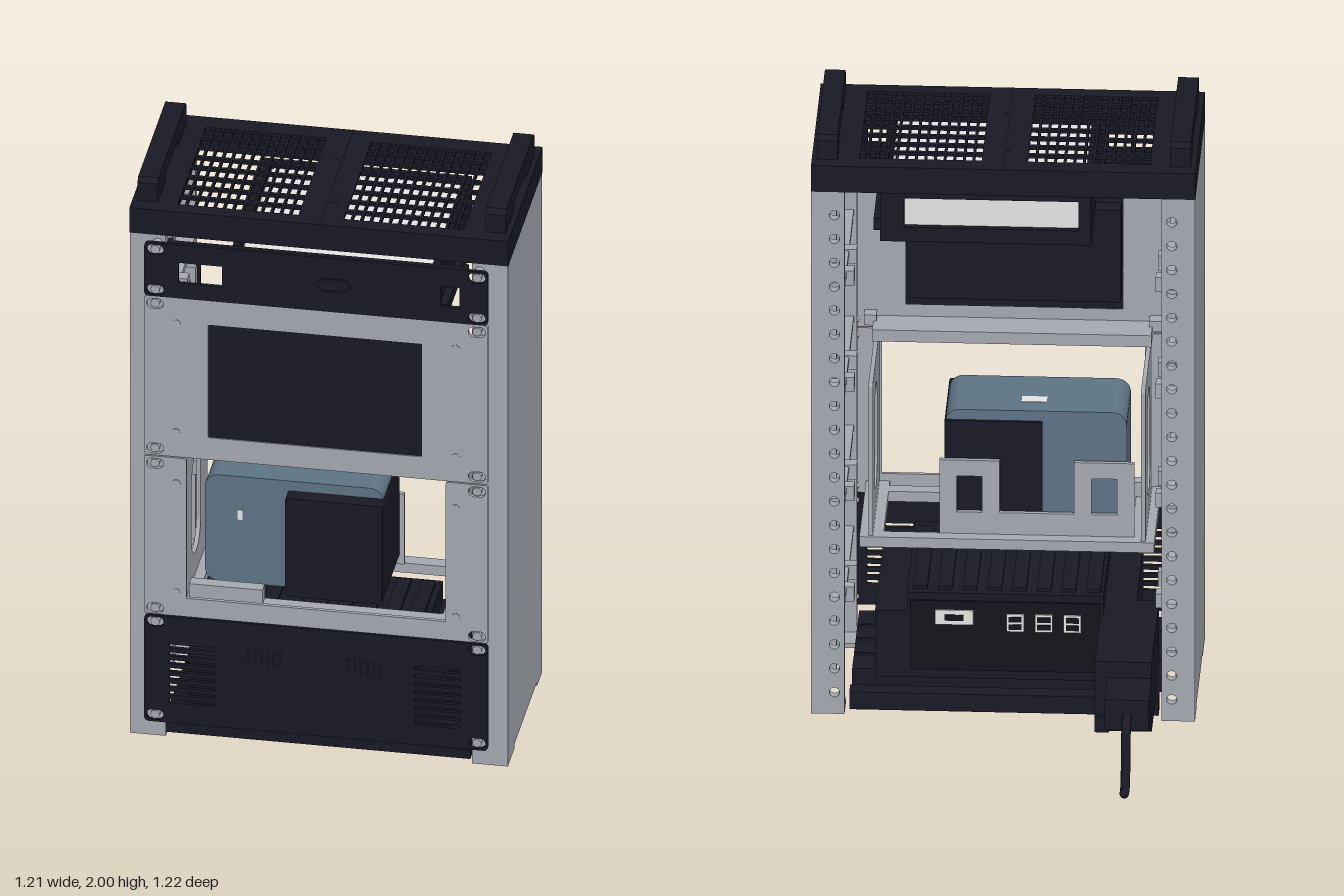
import * as THREE from 'three';

const mat = (name, color) => {
  const m = new THREE.MeshStandardMaterial({ color });
  m.name = name;
  return m;
};

export function createModel() {
  const dark = mat('charcoal plastic', 0x1a1a26);
  const grey = mat('grey plastic', 0xa6aab2);
  const blue = mat('slate blue', 0x5f7586);
  const light = mat('pale case', 0xe6e8e8);
  const black = mat('black case', 0x14141d);
  const root = new THREE.Group();
  root.name = 'miniRack';

  const box = (name, m, x0, x1, y0, y1, z0, z1) => {
    const mesh = new THREE.Mesh(new THREE.BoxGeometry(x1 - x0, y1 - y0, z1 - z0), m);
    mesh.position.set((x0 + x1) / 2, (y0 + y1) / 2, (z0 + z1) / 2);
    mesh.name = name;
    root.add(mesh);
  };
  // Same box on both sides
  const pair = (name, m, x0, x1, ...r) => {
    box(name + 'Left', m, x0, x1, ...r);
    box(name + 'Right', m, -x1, -x0, ...r);
  };
  // Rounded rectangle outline
  const rounded = (P, x0, x1, y0, y1, r) => {
    const p = new P();
    p.moveTo(x0 + r, y0);
    p.lineTo(x1 - r, y0);
    p.absarc(x1 - r, y0 + r, r, -Math.PI / 2, 0);
    p.lineTo(x1, y1 - r);
    p.absarc(x1 - r, y1 - r, r, 0, Math.PI / 2);
    p.lineTo(x0 + r, y1);
    p.absarc(x0 + r, y1 - r, r, Math.PI / 2, Math.PI);
    p.lineTo(x0, y0 + r);
    p.absarc(x0 + r, y0 + r, r, Math.PI, Math.PI * 1.5);
    return p;
  };
  // Flat plate with rounded holes, extruded along z; each outline is [x0, x1, y0, y1, r]
  const plate = (name, m, outline, holes, z0, z1) => {
    const s = rounded(THREE.Shape, ...outline);
    s.holes = holes.map(h => rounded(THREE.Path, ...h));
    const g = new THREE.ExtrudeGeometry(s, { depth: z1 - z0, bevelEnabled: false, curveSegments: 5 });
    const mesh = new THREE.Mesh(g, m);
    mesh.position.z = z0;
    mesh.name = name;
    root.add(mesh);
    return mesh;
  };
  const disc = (name, m, x, y, z, r, h) => {
    const mesh = new THREE.Mesh(new THREE.CylinderGeometry(r, r, h, 12), m);
    mesh.rotation.x = Math.PI / 2;
    mesh.position.set(x, y, z);
    mesh.name = name;
    root.add(mesh);
  };
  // Mounting slots on both ears at the given heights
  const earSlots = ys => ys.flatMap(y => [-0.515, 0.515].map(x => [x - 0.027, x + 0.027, y - 0.018, y + 0.018, 0.017]));

  // Side walls with front posts, perforated rear posts, feet and inner ribs
  pair('sideWall', grey, 0.565, 0.605, 0.03, 1.83, -0.05, 0.56);
  pair('frontPost', grey, 0.49, 0.605, 0.03, 1.83, 0.525, 0.56);
  pair('frontFoot', grey, 0.49, 0.605, 0.015, 0.03, 0.44, 0.56);
  pair('rearFoot', grey, 0.5, 0.605, 0.015, 0.03, -0.05, 0.04);
  for (const s of [-1, 1]) {
    const holes = [];
    for (let i = 0; i < 21; i++) {
      const x = s * 0.532, y = 0.09 + i * 0.083;
      holes.push([x - 0.016, x + 0.016, y - 0.016, y + 0.016, 0.0155]);
    }
    plate('rearPost', grey, [s * 0.5525 - 0.0525, s * 0.5525 + 0.0525, 0.03, 1.83, 0.001], holes, -0.05, -0.02);
  }
  for (const z of [0.13, 0.34]) pair('wallStrip', grey, 0.535, 0.565, 0.05, 1.83, z, z + 0.05);
  for (const y of [0.38, 0.73, 1.11, 1.48]) {
    pair('wallShelf', grey, 0.5, 0.565, y, y + 0.02, -0.02, 0.525);
    for (const z of [0.06, 0.22]) pair('wallClip', grey, 0.475, 0.565, y - 0.025, y + 0.025, z, z + 0.04);
  }

  // Top cap: skirt and thin ventilation grid
  pair('capSide', dark, 0.48, 0.606, 1.83, 1.92, -0.05, 0.56);
  box('capFront', dark, -0.606, 0.606, 1.83, 1.92, 0.53, 0.56);
  box('capRear', dark, -0.606, 0.606, 1.83, 1.92, -0.05, -0.02);
  box('capCentre', dark, -0.055, 0.055, 1.88, 1.92, -0.05, 0.56);
  const vents = [];
  for (const x0 of [-0.46, 0.07]) {
    for (let i = 0; i < 13; i++) for (let j = 0; j < 8; j++) {
      const x = x0 + i * 0.0303, y = -0.51 + j * 0.0635;
      vents.push([x, x + 0.022, y, y + 0.05, 0.001]);
    }
  }
  const grid = plate('capGrid', dark, [-0.6, 0.6, -0.555, 0.045, 0.005], vents, 0, 0.012);
  grid.rotation.x = -Math.PI / 2;
  grid.position.set(0, 1.908, 0);
  // Interlocking seam in the cap
  box('capSeam', black, -0.002, 0.002, 1.919, 1.921, -0.05, 0.56);
  for (const [x0, x1, z] of [[-0.035, 0, 0.115], [0, 0.035, 0.39]])
    box('capSeamTab', dark, x0, x1, 1.919, 1.921, z - 0.024, z + 0.024);

  // Carry handles, arched over a slot
  for (const s of [-1, 1]) {
    const h = new THREE.Shape([[0, 0], [0.15, 0], [0.15, 0.025], [0.37, 0.025], [0.37, 0], [0.51, 0],
      [0.51, 0.065], [0.495, 0.08], [0.015, 0.08], [0, 0.065]].map(p => new THREE.Vector2(...p)));
    const m = new THREE.Mesh(new THREE.ExtrudeGeometry(h, { depth: 0.065, bevelEnabled: false }), dark);
    m.rotation.y = -Math.PI / 2;
    m.position.set(s * 0.557 + 0.0325, 1.92, 0);
    m.name = s > 0 ? 'handleLeft' : 'handleRight';
    root.add(m);
  }

  // Top front panel with sockets
  plate('topPanel', dark, [-0.55, 0.55, 1.636, 1.83, 0.015], [...earSlots([1.66, 1.805]),
    [-0.44, -0.38, 1.69, 1.765, 0.002], [-0.37, -0.3, 1.69, 1.765, 0.002], [0.4, 0.46, 1.69, 1.765, 0.002]], 0.598, 0.61);
  for (const y of [1.64, 1.805]) box('topPanelRim', dark, -0.48, 0.48, y, y + 0.02, 0.575, 0.598);
  pair('topPanelFlange', dark, 0.465, 0.48, 1.64, 1.825, 0.56, 0.598);
  plate('topPanelButtonRim', black, [0, 0.11, 1.705, 1.757, 0.025], [[0.008, 0.102, 1.713, 1.749, 0.017]], 0.609, 0.612);

  // Pale device in its tray
  plate('networkDevice', light, [-0.25, 0.365, 1.68, 1.8, 0.015], [], 0.025, 0.57);
  box('deviceTrayLeft', dark, 0.366, 0.39, 1.645, 1.82, 0.0, 0.575);
  box('deviceTrayLedge', dark, 0.39, 0.415, 1.64, 1.68, 0.08, 0.575);
  box('deviceTrayRight', dark, -0.275, -0.251, 1.645, 1.82, 0.0, 0.575);
  box('deviceTrayRear', dark, -0.275, 0.39, 1.64, 1.68, 0.0, 0.06);
  box('deviceTrayFront', dark, -0.275, 0.39, 1.64, 1.68, 0.48, 0.575);
  plate('deviceTrayWindow', dark, [-0.275, 0.39, 1.64, 1.82, 0.005], [[-0.235, 0.315, 1.69, 1.79, 0.003]], 0, 0.02);

  // Screen panel
  plate('screenPanel', grey, [-0.55, 0.55, 1.06, 1.636, 0.01],
    [...earSlots([1.61, 1.085]), [-0.345, 0.34, 1.14, 1.55, 0.003]], 0.598, 0.61);
  box('screen', dark, -0.347, 0.342, 1.138, 1.552, 0.598, 0.606);
  box('screenBackCover', dark, -0.34, 0.335, 1.19, 1.51, 0.54, 0.598);
  box('screenLedge', grey, -0.44, 0.44, 1.06, 1.1, 0.49, 0.598);
  box('screenTopBar', grey, -0.5, 0.5, 1.595, 1.635, 0.5, 0.55);
  for (const y of [1.085, 1.59]) pair('screenBoss', grey, 0.43, 0.47, y, y + 0.035, 0.555, 0.598);

  // Open bay: ears, front lip, side brackets with oval holes, frame shelf
  for (const s of [-1, 1]) {
    plate('bayEar', grey, [s * 0.4825 - 0.0675, s * 0.4825 + 0.0675, 0.483, 1.056, 0.008],
      earSlots([1.03, 0.505]).filter(h => h[0] * s > 0), 0.598, 0.61);
    const b = plate('bayBracket', grey, [0.19, 0.6, 0.49, 1.05, 0.012], [[0.31, 0.47, 0.6, 0.96, 0.078]], 0, 0.014);
    b.rotation.y = -Math.PI / 2;
    b.position.set(s * 0.43 + 0.007, 0, 0);
  }
  box('bayLip', grey, -0.42, 0.42, 0.483, 0.55, 0.598, 0.61);
  pair('shelfSide', grey, 0.39, 0.465, 0.49, 0.525, 0.18, 0.598);
  for (const z of [0.18, 0.52]) box('shelfBar', grey, -0.425, 0.425, 0.49, 0.525, z, z + 0.045);
  box('shelfStop', grey, -0.415, -0.18, 0.525, 0.575, 0.52, 0.56);

  // Blue storage box with a dark core and a grey rear clip
  plate('storageBox', blue, [-0.375, 0.197, 0.56, 0.945, 0.045], [], 0.245, 0.5);
  plate('storageCore', dark, [-0.11, 0.2, 0.555, 0.91, 0.008], [], 0.236, 0.55);
  box('storageLight', light, -0.27, -0.255, 0.79, 0.825, 0.499, 0.503);
  box('storageTopLabel', light, -0.12, -0.04, 0.944, 0.947, 0.31, 0.35);
  box('clipBase', grey, -0.4, 0.215, 0.525, 0.6, 0.22, 0.235);
  for (const [a, b] of [[-0.4, -0.21], [0.025, 0.215]]) {
    box('clipArmOuter', grey, a, a + 0.055, 0.6, 0.78, 0.22, 0.235);
    box('clipArmInner', grey, b - 0.055, b, 0.6, 0.78, 0.22, 0.235);
    box('clipArmTop', grey, a, b, 0.725, 0.78, 0.22, 0.235);
  }

  // Bottom panel with slots and grooves
  const slots = earSlots([0.455, 0.118]);
  for (let i = 0; i < 8; i++) {
    const y = 0.165 + i * 0.0285;
    slots.push([-0.47, -0.32, y, y + 0.013, 0.004], [0.315, 0.462, y, y + 0.013, 0.004]);
  }
  plate('bottomPanel', dark, [-0.55, 0.55, 0.093, 0.478, 0.015], slots, 0.598, 0.61);
  for (const x0 of [-0.22, 0.1]) for (let i = 0; i < 6; i++)
    box('panelGroove', black, x0 + i * 0.02, x0 + i * 0.02 + 0.01, 0.325, 0.38, 0.609, 0.6115);

  // Computer with ribs on top and ports at the back
  box('computerBase', dark, -0.41, 0.41, 0.09, 0.32, 0.075, 0.59);
  box('computerTop', dark, -0.31, 0.31, 0.32, 0.385, 0.075, 0.598);
  for (let i = 0; i < 8; i++) box('computerRib', dark, -0.3 + i * 0.078, -0.255 + i * 0.078, 0.385, 0.397, 0.1, 0.55);
  box('computerRearInset', black, -0.3, 0.3, 0.12, 0.36, 0.069, 0.075);
  box('widePort', light, 0.1, 0.22, 0.28, 0.33, 0.064, 0.069);
  box('widePortSlot', black, 0.13, 0.19, 0.295, 0.315, 0.061, 0.064);
  for (const x of [-0.24, -0.15, -0.06]) {
    box('port', light, x, x + 0.055, 0.26, 0.32, 0.064, 0.069);
    for (const y of [0.268, 0.294]) box('portSlot', black, x + 0.007, x + 0.048, y, y + 0.018, 0.061, 0.064);
  }

  // Dark floor bars
  for (const [z0, z1] of [[-0.045, 0.01], [0.13, 0.22], [0.25, 0.33], [0.36, 0.43], [0.46, 0.56]])
    box('floorBar', dark, -0.49, 0.485, 0.03, 0.09, z0, z1);
  box('floorPlate', black, -0.49, 0.485, 0.06, 0.088, 0.13, 0.56);

  // Mounting screws in the ear slots, and small panel bolts
  for (const s of [-1, 1]) {
    for (const y of [1.66, 1.805, 1.61, 1.085, 1.03, 0.505, 0.455, 0.118])
      disc('screw', grey, s * 0.515, y, 0.584, 0.015, 0.05);
    for (const y of [1.545, 1.15, 0.965, 0.57]) disc('panelBolt', grey, s * 0.447, y, 0.609, 0.013, 0.006);
  }

  // Power inlet, plug and cable at the rear
  box('powerInlet', dark, -0.48, -0.345, 0.08, 0.32, -0.27, 0.19);
  box('powerInletSide', dark, -0.345, -0.3, 0.08, 0.32, -0.27, 0.19);
  box('powerInletFoot', dark, -0.345, -0.3, 0.08, 0.135, -0.283, -0.27);
  box('powerPlug', dark, -0.48, -0.34, 0.16, 0.265, -0.435, -0.27);
  const path = new THREE.CatmullRomCurve3([[0.21, -0.42], [0.208, -0.455], [0.185, -0.485], [0.1, -0.51],
    [0.035, -0.53], [0.016, -0.55], [0.016, -0.6]].map(([y, z]) => new THREE.Vector3(-0.41, y, z)));
  const cable = new THREE.Mesh(new THREE.TubeGeometry(path, 30, 0.015, 10), dark);
  cable.name = 'powerCable';
  root.add(cable);
  const cableEnd = new THREE.Mesh(new THREE.SphereGeometry(0.015, 10, 8), dark);
  cableEnd.position.set(-0.41, 0.016, -0.598);
  cableEnd.name = 'cableEnd';
  root.add(cableEnd);

  return root;
}
